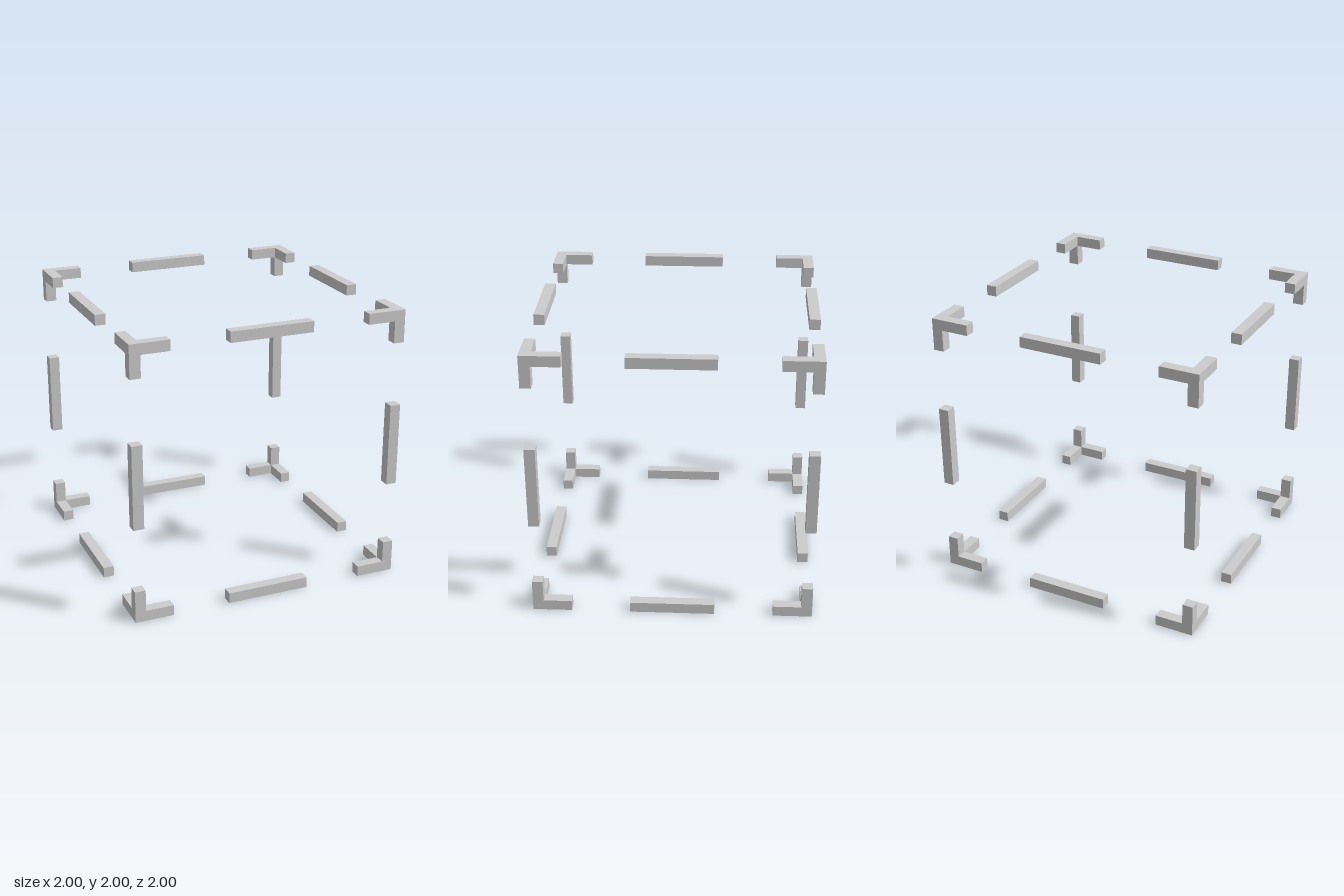
import * as THREE from 'three';

const T = 0.077;          // bar thickness
const E = 1 - T / 2;      // bar centre line, from the middle of the frame
const ARM = 0.28;         // horizontal corner arm, measured from the outer corner
const POST = 0.235;       // vertical corner arm
const MID = 0.605;        // bar in the middle of each edge

const material = new THREE.MeshStandardMaterial({ color: 0xcccccc, flatShading: true });

function bar(name, size, position) {
  const mesh = new THREE.Mesh(new THREE.BoxGeometry(...size), material);
  mesh.name = name;
  mesh.position.set(...position);
  return mesh;
}

// Three arms meeting at one corner; sx, sy, sz point outwards
function corner(sx, sy, sz) {
  const group = new THREE.Group();
  group.name = 'cornerBracket';
  group.position.set(sx, 1 + sy, sz);
  const h = -T / 2;
  const mid = -(T + ARM) / 2;
  group.add(
    bar('cornerPost', [T, POST, T], [sx * h, -sy * POST / 2, sz * h]),
    bar('cornerArmX', [ARM - T, T, T], [sx * mid, sy * h, sz * h]),
    bar('cornerArmZ', [T, T, ARM - T], [sx * h, sy * h, sz * mid])
  );
  return group;
}

export function createModel() {
  const model = new THREE.Group();
  model.name = 'dashedCubeFrame';
  const signs = [-1, 1];

  // Eight corner brackets
  for (const sx of signs) for (const sy of signs) for (const sz of signs) model.add(corner(sx, sy, sz));

  // Twelve bars, one centred on each edge
  for (const a of signs) {
    for (const b of signs) {
      model.add(
        bar('edgeBarX', [MID, T, T], [0, 1 + a * E, b * E]),
        bar('edgeBarY', [T, MID, T], [a * E, 1.003, b * E]),
        bar('edgeBarZ', [T, T, MID], [a * E, 1 + b * E, 0])
      );
    }
  }
  return model;
}
